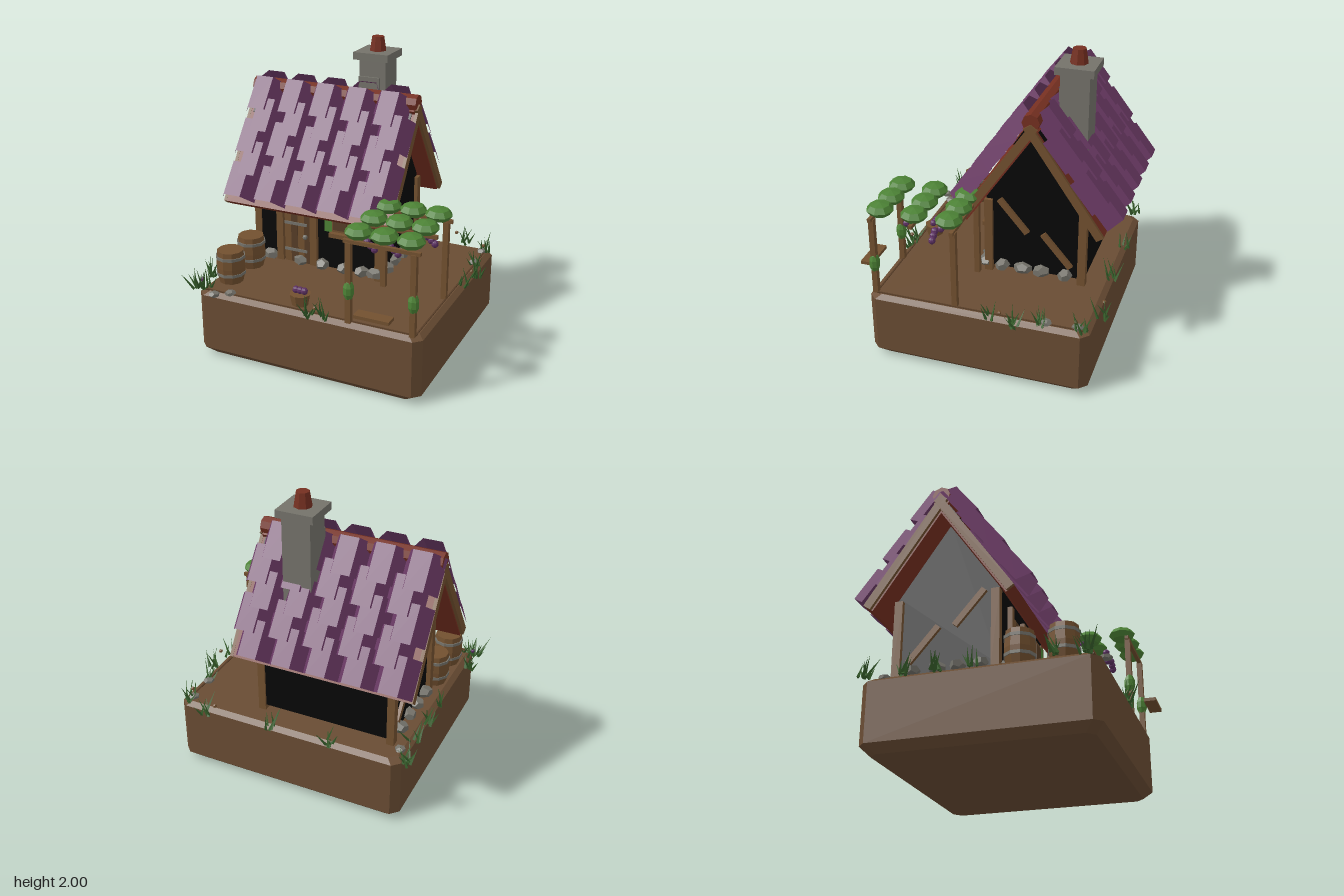
import * as THREE from 'three';

const mat = (name, color, side = THREE.FrontSide) => {
  const m = new THREE.MeshStandardMaterial({ color, side, flatShading: true });
  m.name = name;
  return m;
};

export function createModel() {
  const earth = mat('earth brown', 0x694c33);
  const wood = mat('wood brown', 0x72502f);
  const darkWood = mat('dark wood', 0x573d27);
  const purple = mat('tile purple', 0x6b3a65, THREE.DoubleSide);
  const clay = mat('clay red', 0x752f20);
  const stone = mat('stone grey', 0x74726a);
  const leaf = mat('leaf green', 0x4c8235);
  const grass = mat('grass green', 0x365e2a, THREE.DoubleSide);
  const black = mat('soot black', 0x070707);
  const grape = mat('grape purple', 0x5d3163);

  const model = new THREE.Group();
  model.name = 'cottage';
  let seed = 7;
  const rand = () => (seed = (seed * 16807) % 2147483647) / 2147483647;

  const add = (name, geo, m, x, y, z, parent = model) => {
    const mesh = new THREE.Mesh(geo, m);
    mesh.name = name;
    mesh.position.set(x, y, z);
    parent.add(mesh);
    return mesh;
  };
  // box given by its lowest and highest corners
  const box = (name, m, x0, x1, y0, y1, z0, z1, parent = model) =>
    add(name, new THREE.BoxGeometry(x1 - x0, y1 - y0, z1 - z0), m,
      (x0 + x1) / 2, (y0 + y1) / 2, (z0 + z1) / 2, parent);

  // ground block: chamfered rectangles stacked in rings [inset, y]
  const rings = [[0.055, 0], [0, 0.055], [0, 0.44], [0.035, 0.465]];
  const pts = [], idx = [];
  for (const [i, y] of rings) {
    const w = 0.787 - i, d = 0.732 - i, c = 0.05;
    for (const [x, z] of [[w, d - c], [w, c - d], [w - c, -d], [c - w, -d], [-w, c - d], [-w, d - c], [c - w, d], [w - c, d]])
      pts.push(x, y, z - 0.01);
  }
  for (let r = 0; r < 3; r++) for (let k = 0; k < 8; k++) {
    const a = r * 8 + k, b = r * 8 + (k + 1) % 8;
    idx.push(a, b, b + 8, a, b + 8, a + 8);
  }
  for (let k = 1; k < 7; k++) idx.push(0, k + 1, k, 24, 24 + k, 25 + k);
  const block = new THREE.BufferGeometry();
  block.setAttribute('position', new THREE.Float32BufferAttribute(pts, 3));
  block.setIndex(idx);
  const blockFlat = block.toNonIndexed();
  blockFlat.computeVertexNormals();
  add('groundBlock', blockFlat, earth, 0, 0, 0);

  // house walls: gabled section drawn in (-z, y), extruded along x
  const gable = new THREE.Shape([[-0.095, 0.5], [0.575, 0.5], [0.575, 1.04], [0.24, 1.53], [-0.095, 1.04]]
    .map(p => new THREE.Vector2(...p)));
  const walls = new THREE.ExtrudeGeometry(gable, { depth: 0.9, bevelEnabled: false });
  walls.rotateY(Math.PI / 2);
  add('walls', walls, black, -0.66, 0, 0);
  for (const x of [-0.665, 0.24]) for (const z of [0.075, -0.56])
    box('cornerPost', wood, x - 0.025, x + 0.025, 0.465, 1.0, z - 0.027, z + 0.027);

  // slanted braces on both gable ends
  for (const x of [-0.67, 0.25]) for (const [y, z] of [[0.9, -0.095], [0.69, -0.39]])
    add('gableBrace', new THREE.BoxGeometry(0.025, 0.04, 0.29), wood, x, y, z).rotation.x = -0.86;

  // foundation stones
  const pebble = new THREE.DodecahedronGeometry(1, 0);
  const rock = (name, x, y, z, sx, sy, sz) => {
    const r = add(name, pebble, stone, x, y, z);
    r.scale.set(sx, sy, sz);
    r.rotation.y = rand() * 6;
  };
  for (const x of [-0.57, -0.34, -0.17, 0.0, 0.13, 0.22]) rock('foundationStone', x, 0.52, 0.1, 0.068, 0.042, 0.05);
  for (const z of [-0.02, -0.16, -0.29, -0.45]) for (const x of [-0.67, 0.25])
    rock('foundationStone', x, 0.52, z, 0.05, 0.042, 0.065);

  // door
  for (let i = 0; i < 4; i++)
    box('doorPlank', i % 2 ? darkWood : wood, -0.45 + i * 0.05, -0.402 + i * 0.05, 0.5, 0.9, 0.09, 0.115);
  for (const x of [-0.485, -0.23]) box('doorFrame', wood, x - 0.025, x + 0.025, 0.5, 0.95, 0.09, 0.125);
  for (const y of [0.59, 0.785]) box('doorStrap', stone, -0.45, -0.28, y - 0.01, y + 0.01, 0.11, 0.122);
  add('doorKnob', new THREE.SphereGeometry(0.018, 8, 6), stone, -0.29, 0.7, 0.125);

  // window with sill and green shutters
  box('windowFrame', wood, -0.09, 0.16, 0.77, 0.96, 0.09, 0.115);
  for (const x of [-0.03, 0.1]) box('windowPane', darkWood, x - 0.05, x + 0.05, 0.79, 0.94, 0.112, 0.119);
  box('windowSill', wood, -0.1, 0.17, 0.745, 0.775, 0.09, 0.15);
  for (const x of [-0.118, 0.182]) box('shutter', leaf, x - 0.028, x + 0.028, 0.77, 0.96, 0.09, 0.115);

  // roof: each slope is built in its own frame, y outward and z down the slope
  const tile = new THREE.CylinderGeometry(0.124, 0.124, 0.24, 3, 1, true, -Math.PI / 2, Math.PI);
  tile.rotateX(-Math.PI / 2);
  for (const side of [1, -1]) {
    const turn = new THREE.Group();
    turn.name = side > 0 ? 'frontRoof' : 'backRoof';
    turn.position.set(0, 1.62, -0.24);
    turn.rotation.y = side > 0 ? 0 : Math.PI;
    const slope = new THREE.Group();
    slope.name = 'roofSlope';
    slope.rotation.x = 0.969;
    turn.add(slope);
    model.add(turn);
    add('roofSlab', new THREE.BoxGeometry(1.19, 0.065, 0.85), clay, -0.235 * side, -0.033, 0.425, slope);
    add('ridgeUnderlay', new THREE.BoxGeometry(1.15, 0.006, 0.2), black, -0.235 * side, 0.004, 0.1, slope);
    for (const x of [-0.84, 0.37])
      add('bargeBoard', new THREE.BoxGeometry(0.022, 0.055, 0.852), wood, x * side, -0.027, 0.425, slope);
    for (let row = 0; row < 5; row++) for (let col = 0; col < 5; col++) {
      const x = -0.728 + col * 0.233 + (row % 2) * 0.06;
      add('roofTile', tile, purple, x * side, 0.017, 0.097 + row * 0.155, slope).rotation.x = -0.06;
    }
  }
  add('ridgeCap', new THREE.CylinderGeometry(0.058, 0.058, 1.21, 8), clay, -0.235, 1.628, -0.24).rotation.z = Math.PI / 2;

  // chimney
  box('chimneyStack', stone, -0.1, 0.09, 1.2, 1.86, -0.53, -0.34);
  box('chimneyStep', stone, -0.1, 0.05, 1.4, 1.74, -0.4, -0.325);
  box('chimneyCap', stone, -0.133, 0.117, 1.855, 1.905, -0.56, -0.31);
  add('chimneyPot', new THREE.CylinderGeometry(0.043, 0.06, 0.1, 8), clay, -0.007, 1.95, -0.435);

  // barrels
  const staves = new THREE.LatheGeometry([[0, 0], [0.08, 0], [0.095, 0.06], [0.098, 0.11], [0.095, 0.17], [0.088, 0.225], [0, 0.225]]
    .map(p => new THREE.Vector2(...p)), 10);
  for (const z of [0.49, 0.22]) {
    add('barrel', staves, wood, -0.66, 0.465, z);
    for (const y of [0.53, 0.645])
      add('barrelHoop', new THREE.CylinderGeometry(0.1, 0.1, 0.02, 10), stone, -0.66, y, z);
  }

  // basket and grapes
  const berry = new THREE.SphereGeometry(0.024, 8, 6);
  add('basket', new THREE.CylinderGeometry(0.07, 0.055, 0.075, 8), wood, -0.08, 0.502, 0.6);
  for (const x of [-0.03, 0, 0.03]) add('basketGrape', berry, grape, x - 0.08, 0.56, 0.6);

  // pergola with leaves and hanging bunches
  for (const x of [0.3, 0.725]) {
    for (const z of [0.685, 0.14]) box('pergolaPost', wood, x - 0.018, x + 0.018, 0.46, 1.0, z - 0.018, z + 0.018);
    add('postVine', new THREE.SphereGeometry(1, 8, 5), leaf, x, 0.68, 0.685).scale.set(0.037, 0.07, 0.037);
  }
  for (const z of [0.685, 0.41, 0.14]) box('pergolaBeam', wood, 0.265, 0.765, 0.995, 1.018, z - 0.012, z + 0.012);
  const bush = new THREE.SphereGeometry(0.09, 8, 4);
  for (const x of [0.345, 0.515, 0.685]) for (const z of [0.64, 0.41, 0.18])
    add('pergolaLeaves', bush, leaf, x, 1.06, z).scale.y = 0.52;
  for (const [x, z] of [[0.375, 0.29], [0.53, 0.29], [0.68, 0.29], [0.375, 0.525], [0.53, 0.525]])
    for (const k of [-1, 0, 1]) add('hangingGrape', berry, grape, x + k * 0.025, 0.925 - k * 0.02, z);

  // loose plank and ground edging
  box('plank', wood, 0.4, 0.63, 0.583, 0.605, 0.755, 0.835);
  box('frontEdging', darkWood, -0.74, 0.74, 0.46, 0.47, 0.672, 0.682);
  box('sideEdging', darkWood, 0.735, 0.745, 0.46, 0.47, -0.7, 0.672);

  // grass tufts
  const blade = new THREE.ConeGeometry(0.011, 1, 3);
  blade.translate(0, 0.5, 0);
  for (const [x, z, n] of [[-0.83, 0.47, 7], [-0.81, 0.66, 10], [-0.75, 0.64, 6], [0.02, 0.71, 6], [0.13, 0.69, 7],
    [0.55, -0.77, 6], [0.73, -0.69, 8], [0.74, -0.44, 7], [0.81, -0.28, 8], [0.77, -0.1, 4], [-0.82, -0.7, 9],
    [-0.3, -0.73, 6], [0.1, -0.73, 6], [-0.8, -0.25, 7], [-0.8, -0.02, 5], [-0.79, -0.47, 6]])
    for (let i = 0; i < n; i++) {
      const b = add('grassBlade', blade, grass, x + (rand() - 0.5) * 0.06, 0.45, z + (rand() - 0.5) * 0.06);
      b.scale.y = 0.08 + rand() * 0.08;
      b.rotation.set((rand() - 0.5) * 1.1, 0, (rand() - 0.5) * 1.1);
    }

  // loose rocks and crumbs
  for (const [x, z] of [[-0.645, 0.73], [-0.56, 0.67], [0.72, -0.66], [0.73, -0.46], [-0.74, -0.6]])
    rock('looseRock', x, 0.47, z, 0.04, 0.022, 0.036);
  for (const [x, y, z] of [[0.8, 0.53, -0.18], [0.49, 0.53, -0.77], [0.735, 0.52, -0.65], [0.08, 0.52, 0.71]])
    add('crumb', pebble, wood, x, y, z).scale.setScalar(0.014);
  add('fallenGrape', berry, grape, -0.8, 0.5, 0.63).scale.setScalar(0.6);

  return model;
}
